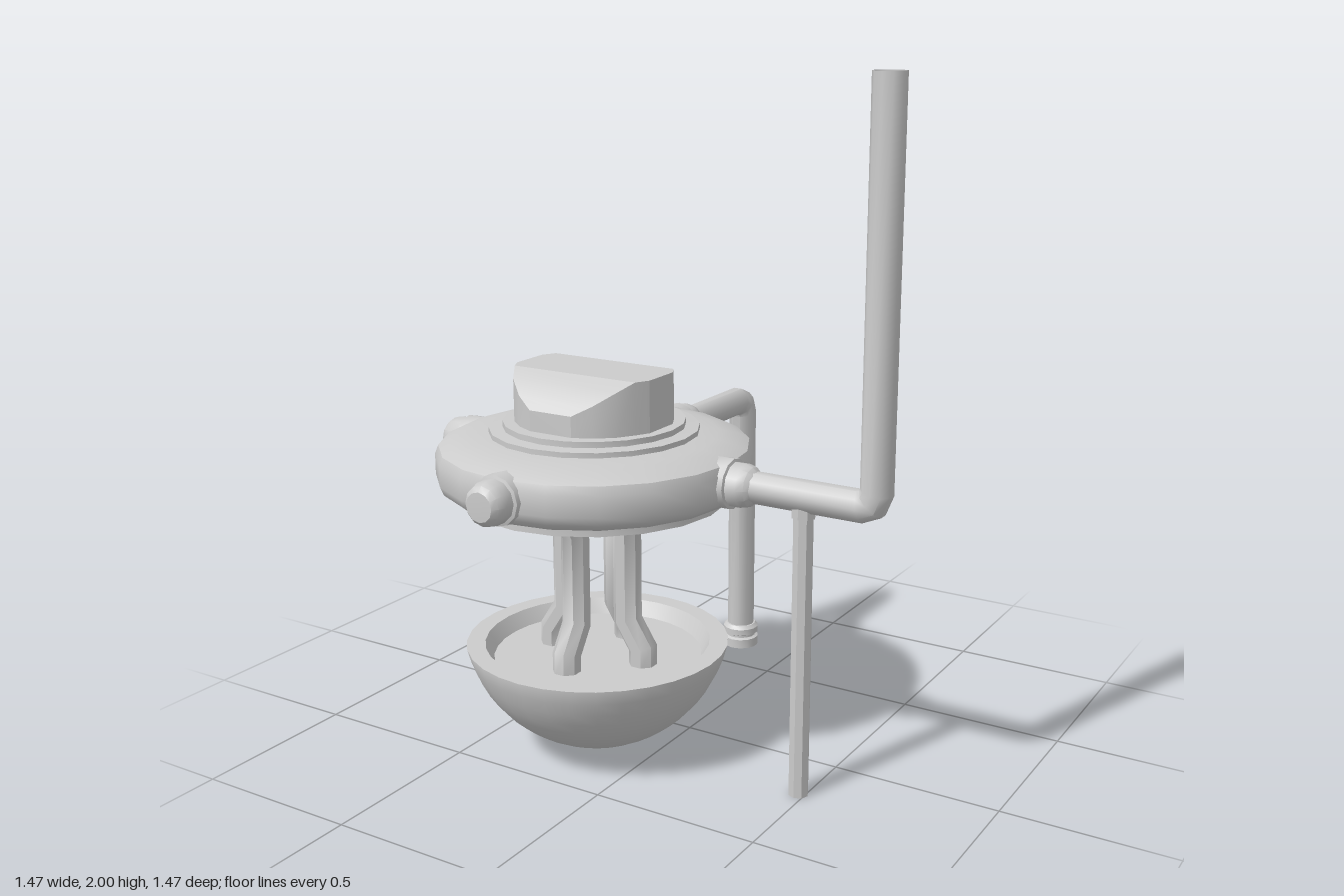
import * as THREE from 'three';
import { toCreasedNormals } from 'three/addons/utils/BufferGeometryUtils.js';

const mat = new THREE.MeshStandardMaterial({ color: 0xcccccc });
const openMat = new THREE.MeshStandardMaterial({ color: 0xcccccc, side: THREE.DoubleSide });
const V = (x, y, z) => new THREE.Vector3(x, y, z);

function mesh(name, geometry, parent, material = mat) {
  const m = new THREE.Mesh(geometry, material);
  m.name = name;
  parent.add(m);
  return m;
}

// Turned part from [radius, height] pairs, listed from the bottom outward and up
function turned(profile, sides, crease = 0.6) {
  const pts = profile.map(([r, y]) => new THREE.Vector2(r, y));
  return toCreasedNormals(new THREE.LatheGeometry(pts, sides), crease);
}

// Mitred pipe along a planar path; b is the normal of that plane
function pipe(points, radius, b, sides = 10) {
  const dirs = points.slice(1).map((p, i) => p.clone().sub(points[i]).normalize());
  const pos = [], idx = [];
  points.forEach((p, i) => {
    const n1 = b.clone().cross(dirs[Math.max(i - 1, 0)]);
    const n2 = b.clone().cross(dirs[Math.min(i, dirs.length - 1)]);
    const n = n1.clone().add(n2).divideScalar(1 + n1.dot(n2));
    for (let j = 0; j < sides; j++) {
      const a = ((j + 0.5) / sides) * Math.PI * 2;
      const q = p.clone().addScaledVector(n, Math.cos(a) * radius).addScaledVector(b, Math.sin(a) * radius);
      pos.push(q.x, q.y, q.z);
      if (i < points.length - 1) {
        const k = (j + 1) % sides, r0 = i * sides, r1 = r0 + sides;
        idx.push(r0 + j, r0 + k, r1 + k, r0 + j, r1 + k, r1 + j);
      }
    }
  });
  const g = new THREE.BufferGeometry();
  g.setAttribute('position', new THREE.Float32BufferAttribute(pos, 3));
  g.setIndex(idx);
  return toCreasedNormals(g, 0.7);
}

// Round knob whose top falls away toward front and back
function knobGeometry() {
  const half = [[0.215, 0.07, 0.065], [0.19, 0.125, 0.095], [0.15, 0.175, 0.13], [0.1, 0.207, 0.155], [0.06, 0.228, 0.155]];
  const stations = [...half.map(([z, w, h]) => [-z, w, h]), ...half.slice().reverse()];
  const rings = stations.map(([z, w, h]) => [V(-w, 0, z), V(-w, h, z), V(w, h, z), V(w, 0, z)]);
  const tris = [];
  const quad = (a, b, c, d) => tris.push(a, b, c, a, c, d);
  for (let i = 0; i < rings.length - 1; i++) {
    const p = rings[i], q = rings[i + 1];
    for (let j = 0; j < 4; j++) {
      const k = (j + 1) % 4;
      quad(p[j], q[j], q[k], p[k]);
    }
  }
  quad(...rings[0]);
  quad(...rings[rings.length - 1].slice().reverse());
  const g = new THREE.BufferGeometry().setFromPoints(tris);
  return toCreasedNormals(g, 0.35);
}

export function createModel() {
  const model = new THREE.Group();
  model.name = 'vessel';

  // Everything round shares one off-centre axis
  const core = new THREE.Group();
  core.name = 'core';
  core.position.set(-0.2, 0, 0.2);
  model.add(core);

  // Swollen ring body with recessed underside
  mesh('ringBody', turned([
    [0, 0.83], [0.31, 0.83], [0.335, 0.775], [0.39, 0.775], [0.39, 0.8], [0.425, 0.805], [0.45, 0.825],
    [0.46, 0.85], [0.46, 0.91], [0.45, 0.935], [0.42, 0.95], [0.36, 0.965], [0.305, 0.97],
    [0.305, 0.985], [0.265, 0.988], [0.265, 1.005], [0.235, 1.005], [0, 1.005],
  ], 20), core);
  mesh('knob', knobGeometry(), core).position.y = 1;

  // Bowl with a ledge and a flat floor
  const bowl = [[0, 0.01]];
  const R = 0.399, end = Math.asin(0.39 / R);
  for (let i = 1; i <= 12; i++) {
    const a = (end * i) / 12;
    bowl.push([R * Math.sin(a), 0.01 + R * (1 - Math.cos(a))]);
  }
  bowl.push([0.39, 0.325], [0.335, 0.325], [0.31, 0.28], [0, 0.28]);
  mesh('bowl', turned(bowl, 32), core);
  mesh('bowlFoot', new THREE.CylinderGeometry(0.06, 0.06, 0.02, 16), core).position.y = 0.01;

  // Four cranked legs and four side fittings around the axis
  const legPath = [V(0.16, 0.27, 0), V(0.16, 0.33, 0), V(0.108, 0.41, 0), V(0.108, 0.69, 0), V(0.16, 0.775, 0), V(0.16, 0.84, 0)];
  const fitting = [[0, 0.4], [0.072, 0.4], [0.072, 0.465], [0.063, 0.468], [0.063, 0.5], [0.056, 0.522], [0.042, 0.536], [0, 0.538]];
  for (let i = 0; i < 4; i++) {
    const arm = new THREE.Group();
    arm.name = 'quarter' + (i + 1);
    arm.rotation.y = (i * Math.PI) / 2;
    core.add(arm);
    mesh('leg', pipe(legPath, 0.042, V(0, 0, 1), 8), arm);
    const f = mesh('sideFitting', turned(fitting, 12), arm);
    f.rotation.z = -Math.PI / 2;
    f.position.y = 0.88;
  }

  // Tall pipe rising at the left
  mesh('tallPipe', pipe([
    V(0.25, 0.88, 0.2), V(0.65, 0.88, 0.2), V(0.68, 0.893, 0.2), V(0.693, 0.925, 0.2), V(0.693, 2, 0.2),
  ], 0.045, V(0, 0, 1)), model, openMat);

  // Thin post under the tall pipe
  mesh('post', turned([[0, 0], [0.029, 0], [0.029, 0.82], [0.034, 0.82], [0.034, 0.85], [0, 0.85]], 8), model)
    .position.set(0.48, 0, 0.2);

  // Drain pipe at the back with a grooved foot
  mesh('drainPipe', pipe([
    V(-0.2, 0.88, -0.25), V(-0.2, 0.88, -0.63), V(-0.2, 0.867, -0.66), V(-0.2, 0.835, -0.673), V(-0.2, 0.03, -0.673),
  ], 0.045, V(1, 0, 0)), model, openMat);
  mesh('drainFoot', turned([
    [0, 0], [0.06, 0], [0.06, 0.03], [0.05, 0.035], [0.05, 0.042], [0.06, 0.047], [0.06, 0.067], [0.05, 0.078], [0, 0.078],
  ], 14), model).position.set(-0.2, 0, -0.673);

  return model;
}
